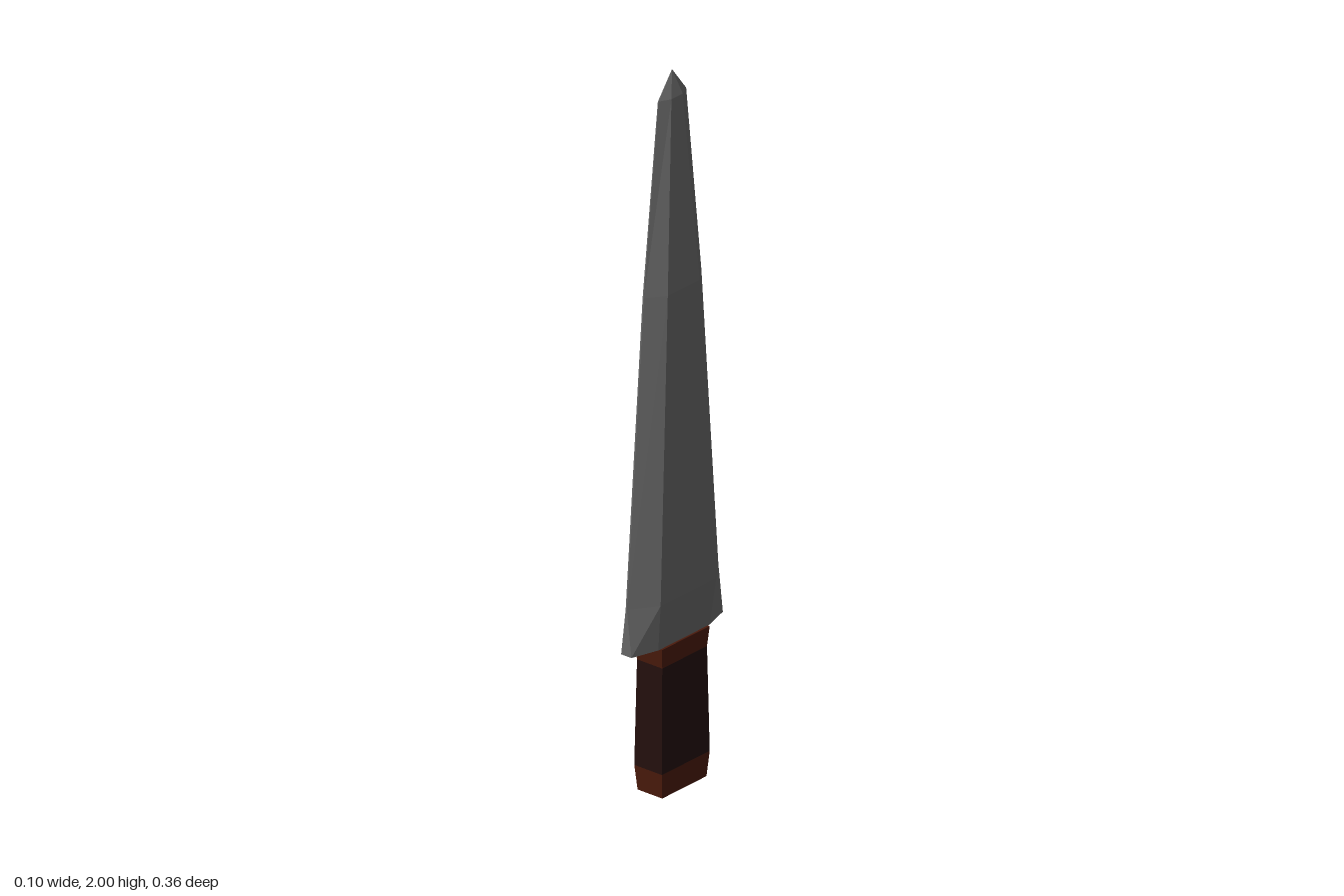
import * as THREE from 'three';

// Closed solid through rings of [x, z] points; each ring is { y, pts }, lowest first.
function loft(rings) {
  const n = rings[0].pts.length, last = rings.length - 1;
  const pos = [], idx = [];
  for (const { y, pts } of rings) for (const [x, z] of pts) pos.push(x, y, z);
  for (let i = 0; i < last; i++) {
    for (let k = 0; k < n; k++) {
      const a = i * n + k, b = i * n + (k + 1) % n, c = a + n, d = b + n;
      idx.push(a, c, b, b, c, d);
    }
  }
  for (let k = 1; k < n - 1; k++) {
    idx.push(0, k, k + 1);
    idx.push(last * n, last * n + k + 1, last * n + k);
  }
  const g = new THREE.BufferGeometry();
  g.setAttribute('position', new THREE.Float32BufferAttribute(pos, 3));
  g.setIndex(idx);
  const flat = g.toNonIndexed();
  flat.computeVertexNormals();
  return flat;
}

// Eight-sided blade section: flat sides of half width w and half length f,
// bevelled to edges of half width e at half depth d.
const bladeRing = ([y, w, f, e, d]) => ({
  y, pts: [[w, -f], [w, f], [e, d], [-e, d], [-w, f], [-w, -f], [-e, -d], [e, -d]],
});
const boxRing = ([y, w, d]) => ({ y, pts: [[w, -d], [w, d], [-w, d], [-w, -d]] });

export function createModel() {
  const model = new THREE.Group();
  model.name = 'dagger';

  const mat = (color) => new THREE.MeshStandardMaterial({ color, flatShading: true });
  const steel = mat(0x666666), wood = mat(0x4a1a0c), leather = mat(0x230f0d);
  const add = (name, rings, material) => {
    const mesh = new THREE.Mesh(loft(rings), material);
    mesh.name = name;
    model.add(mesh);
  };

  // Double-edged blade: blunt heel, long taper, short point
  add('blade', [
    [0.42, 0.04, 0.1, 0.017, 0.178],
    [0.55, 0.052, 0.105, 0.002, 0.178],
    [1.4, 0.039, 0.062, 0.002, 0.112],
    [1.93, 0.017, 0.022, 0.001, 0.054],
    [2.0, 0.0005, 0.0005, 0.0002, 0.001],
  ].map(bladeRing), steel);

  // Handle: collar, wrapped grip and pommel share their joining sections
  const top = [0.42, 0.046, 0.093], neck = [0.365, 0.042, 0.087];
  const heel = [0.07, 0.046, 0.093], foot = [0, 0.041, 0.086];
  add('collar', [neck, top].map(boxRing), wood);
  add('grip', [heel, neck].map(boxRing), leather);
  add('pommel', [foot, heel].map(boxRing), wood);

  return model;
}
